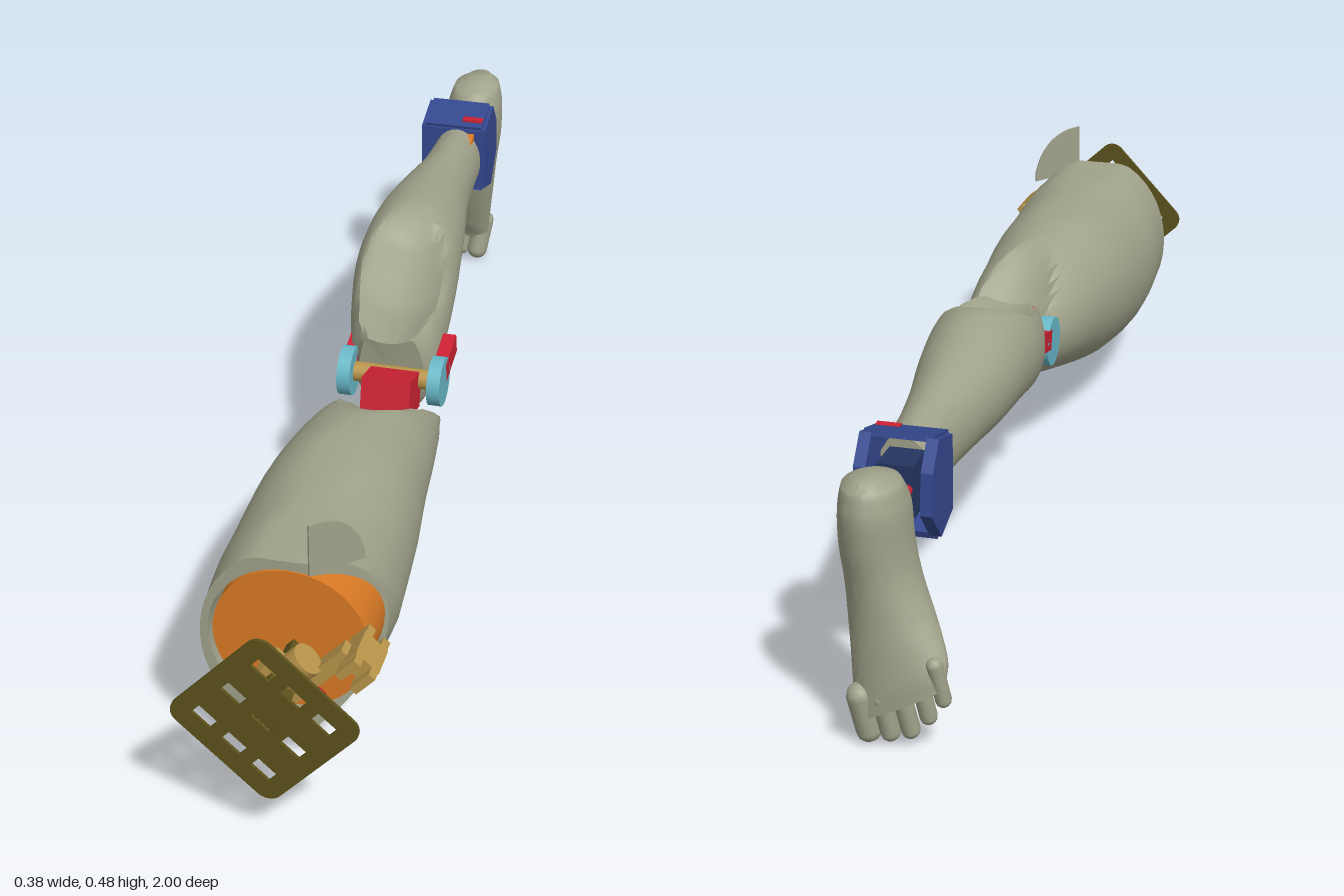
import * as THREE from 'three';
import { toCreasedNormals } from 'three/addons/utils/BufferGeometryUtils.js';

const mat = (color) => new THREE.MeshStandardMaterial({ color, side: THREE.DoubleSide });
const skin = mat(0xa0a28a), orange = mat(0xd97a25), olive = mat(0x5c511c), brass = mat(0xb8944a);
const red = mat(0xcc2233), cyan = mat(0x68b8c8), blue = mat(0x34488f), navy = mat(0x243560);
const SEG = 40;

function add(parent, name, geometry, material, x = 0, y = 0, z = 0, rx = 0, ry = 0, rz = 0) {
  const mesh = new THREE.Mesh(geometry, material);
  mesh.name = name;
  mesh.position.set(x, y, z);
  mesh.rotation.set(rx, ry, rz);
  parent.add(mesh);
  return mesh;
}

const box = (w, h, d) => new THREE.BoxGeometry(w, h, d);
const disc = (r, h, n = 32) => new THREE.CylinderGeometry(r, r, h, n);

// Skin a list of equal rings of points, closing both ends with a fan
function loft(rings, crease = 0.6) {
  const pos = [], idx = [], n = SEG;
  rings.forEach((ring) => ring.forEach((p) => pos.push(p[0], p[1], p[2])));
  for (let i = 0; i < rings.length - 1; i++)
    for (let j = 0; j < n; j++) {
      const a = i * n + j, b = i * n + (j + 1) % n;
      idx.push(a, a + n, b, b, a + n, b + n);
    }
  [0, rings.length - 1].forEach((r) => {
    const c = pos.length / 3, mid = [0, 1, 2].map((k) => rings[r].reduce((s, p) => s + p[k], 0) / n);
    pos.push(...mid);
    for (let j = 0; j < n; j++) {
      const a = r * n + j, b = r * n + (j + 1) % n;
      if (r === 0) idx.push(c, a, b); else idx.push(c, b, a);
    }
  });
  const g = new THREE.BufferGeometry();
  g.setAttribute('position', new THREE.Float32BufferAttribute(pos, 3));
  g.setIndex(idx);
  return toCreasedNormals(g, crease);
}

// Smoothly refine rows of section numbers
function refine(rows, steps = 4) {
  const out = [];
  for (let i = 0; i < rows.length - 1; i++) {
    const [p, q, r, s] = [-1, 0, 1, 2].map((k) => rows[Math.min(Math.max(i + k, 0), rows.length - 1)]);
    for (let k = 0; k < steps; k++) {
      const t = k / steps;
      out.push(q.map((v, c) => c === 0 ? v + (r[0] - v) * t : v + 0.5 * t * (r[c] - p[c]
        + t * (2 * p[c] - 5 * v + 4 * r[c] - s[c] + t * (3 * (v - r[c]) + s[c] - p[c])))));
    }
  }
  return [...out, rows[rows.length - 1]];
}

// Oval ring inside the bounds u0..u1, v0..v1, mapped to a point by fn(u, v)
function oval([, u0, u1, v0, v1], fn) {
  return Array.from({ length: SEG }, (_, j) => {
    const a = j / SEG * Math.PI * 2;
    return fn((u0 + u1) / 2 + Math.cos(a) * (u1 - u0) / 2, (v0 + v1) / 2 + Math.sin(a) * (v1 - v0) / 2);
  });
}

// Hollow running along a cut: deepest at x = c
const hollow = (x, c, depth) => depth * Math.max(0, 1 - ((x - c) / 0.07) ** 2);

function thigh() {
  // The open end is sliced off obliquely on the left side
  const endZ = (x) => x < 0.055 ? 0.81 : 0.81 - (x - 0.055) * 1.15;
  const slide = (x, z) => z > 0.6 ? 0.6 + (z - 0.6) * (endZ(x) - 0.6) / 0.21 : z;
  const rows = refine([
    [0.81, -0.13, 0.155, 0.08, 0.425], [0.72, -0.138, 0.16, 0.08, 0.422], [0.62, -0.14, 0.16, 0.081, 0.415],
    [0.46, -0.135, 0.15, 0.105, 0.417], [0.35, -0.12, 0.137, 0.132, 0.405], [0.25, -0.1, 0.128, 0.158, 0.385],
    [0.15, -0.065, 0.115, 0.18, 0.345], [0.085, -0.05, 0.102, 0.188, 0.31]]);
  const outer = rows.map((r) => oval(r, (x, y) => {
    const cut = 0.29 + 0.75 * (r[0] - 0.13) - hollow(x, 0.02, 0.03);
    return [x, Math.min(y, 0.412, cut), slide(x, r[0])];
  }));
  const inner = [0.66, 0.81].map((z) => oval([z, -0.117, 0.15, 0.122, 0.396],
    (x, y) => [x, y, z > 0.7 ? endZ(x) : z]));
  return loft([...inner, ...outer]);
}

function shin() {
  const rows = refine([
    [0.045, -0.06, 0.06, 0.205, 0.41], [0, -0.085, 0.075, 0.205, 0.43], [-0.1, -0.11, 0.075, 0.235, 0.455],
    [-0.2, -0.127, 0.068, 0.265, 0.475], [-0.3, -0.131, 0.055, 0.281, 0.48], [-0.4, -0.128, 0.04, 0.29, 0.469],
    [-0.5, -0.115, 0.022, 0.297, 0.454], [-0.6, -0.1, 0.01, 0.296, 0.44], [-0.75, -0.095, 0, 0.29, 0.428]]);
  return loft(rows.map((r) => oval(r, (x, y) => {
    const cut = 0.395 + Math.max(0, -0.08 - r[0]) * 0.42 - hollow(x, -0.01, r[0] > -0.25 ? 0.025 : 0);
    const z = r[0] > 0 ? r[0] * (0.6 + (y - 0.2) * 2) : r[0];
    return [x, Math.min(y, cut), z];
  })));
}

function foot() {
  const group = new THREE.Group();
  group.name = 'foot';
  // Rows run from the heel down to the ball: y, x range, then depth range (-z)
  const rows = refine([
    [0.443, -0.075, -0.025, 0.91, 0.975], [0.43, -0.098, -0.008, 0.875, 0.99], [0.39, -0.11, 0, 0.85, 1],
    [0.33, -0.115, 0, 0.85, 0.996], [0.28, -0.125, -0.006, 0.856, 0.99], [0.22, -0.148, -0.014, 0.876, 0.99],
    [0.16, -0.17, -0.023, 0.905, 0.995], [0.11, -0.182, -0.03, 0.93, 0.999], [0.075, -0.18, -0.033, 0.95, 0.998]]);
  add(group, 'footBody', loft(rows.map((r) => oval(r, (x, d) => {
    const k = Math.min(Math.max((0.25 - r[0]) / 0.15, 0), 1);
    return [x, r[0] - (x + 0.1) * 0.5 * k, -Math.max(d, 0.855)];
  })), 1), skin);
  // Toes: tip x, tip y, radius, from smallest to big toe
  [[-0.176, 0.078, 0.013], [-0.152, 0.045, 0.014], [-0.123, 0.017, 0.015], [-0.09, 0.008, 0.016], [-0.055, 0.003, 0.021]]
    .forEach(([x, y, r], i) => {
      const toe = add(group, 'toe' + (i + 1), new THREE.CapsuleGeometry(r, 0.065, 6, 14), skin,
        x + 0.006, y + r + 0.033, -0.974, -0.2, 0, -0.16);
      toe.scale.z = 1.1;
    });
  return group;
}

function mountPlate() {
  const group = new THREE.Group();
  group.name = 'hipMount';
  group.position.set(0.03, 0.243, 0);
  group.rotation.z = -0.75;
  // Rounded square plate with a three by three grid of slots
  const h = 0.115, r = 0.026, s = new THREE.Shape();
  [[h - r, -h + r, -Math.PI / 2], [h - r, h - r, 0], [-h + r, h - r, Math.PI / 2], [-h + r, -h + r, Math.PI]]
    .forEach(([x, y, a]) => s.absarc(x, y, r, a, a + Math.PI / 2, false));
  for (let i = -1; i <= 1; i++)
    for (let j = -1; j <= 1; j++) {
      const x = i * 0.064, y = j * 0.072, p = new THREE.Path();
      p.moveTo(x - 0.02, y - 0.01).lineTo(x - 0.02, y + 0.01).lineTo(x + 0.02, y + 0.01).lineTo(x + 0.02, y - 0.01);
      p.closePath();
      s.holes.push(p);
    }
  add(group, 'slottedPlate', new THREE.ExtrudeGeometry(s, { depth: 0.006, bevelEnabled: false, curveSegments: 6 }), olive, 0, 0, 0.994);
  add(group, 'mountStem', box(0.05, 0.018, 0.1), olive, 0, 0, 0.945);
  // Universal joint behind the plate
  add(group, 'jointBlock', box(0.08, 0.04, 0.045), brass, 0, 0, 0.885);
  add(group, 'jointCore', disc(0.028, 0.1, 20), brass, 0, 0.01, 0.885);
  add(group, 'jointPin', box(0.03, 0.02, 0.1), olive, 0, 0, 0.84);
  add(group, 'jointArm', box(0.025, 0.11, 0.03), brass, 0.035, 0.06, 0.87);
  add(group, 'sideServo', box(0.05, 0.035, 0.06), brass, 0.06, 0.125, 0.87);
  [-1, 1].forEach((k) => add(group, 'servoLug', box(0.014, 0.045, 0.1), brass, 0.06 + k * 0.016, 0.12, 0.87));
  add(group, 'redLink', box(0.04, 0.02, 0.02), red, 0.06, -0.01, 0.85);
  return group;
}

function knee() {
  const group = new THREE.Group();
  group.name = 'knee';
  add(group, 'kneeBlock', box(0.09, 0.07, 0.09), red, 0.01, 0.295, 0.085, -0.25);
  add(group, 'kneeAxle', disc(0.018, 0.17, 20), brass, 0.005, 0.305, 0.045, 0, 0, Math.PI / 2);
  [-0.078, 0.088].forEach((x) => {
    add(group, 'kneeDisc', disc(0.045, 0.024), cyan, x, 0.305, 0.045, 0, 0, Math.PI / 2);
    add(group, 'kneeArm', box(0.024, 0.038, 0.085), red, x, 0.322, -0.012, 0.2);
  });
  add(group, 'kneeLowerLink', box(0.06, 0.05, 0.07), red, 0.01, 0.25, 0.06);
  return group;
}

function ankle() {
  const group = new THREE.Group();
  group.name = 'ankle';
  // Eight-sided side profile in depth and height, used by both cheeks
  const pts = [[0.72, 0.43], [0.795, 0.45], [0.83, 0.405], [0.836, 0.335], [0.785, 0.28], [0.72, 0.302]];
  const cheek = new THREE.Shape(pts.map(([d, y]) => new THREE.Vector2(d, y)));
  const geo = new THREE.ExtrudeGeometry(cheek, { depth: 0.02, bevelEnabled: false });
  [-0.12, -0.01].forEach((x) => add(group, 'ankleCheek', geo, blue, x, 0, 0, 0, Math.PI / 2, 0));
  // Walls joining the cheeks along the top, bottom and shin side
  [[0, 1], [4, 5], [5, 0]].forEach(([i, j]) => {
    const [d0, y0] = pts[i], [d1, y1] = pts[j];
    add(group, 'ankleWall', box(0.115, 0.012, Math.hypot(d1 - d0, y1 - y0)), blue,
      -0.055, (y0 + y1) / 2, -(d0 + d1) / 2, Math.atan2(y1 - y0, d1 - d0), 0, 0);
  });
  add(group, 'ankleServo', box(0.06, 0.09, 0.07), navy, -0.055, 0.365, -0.785);
  add(group, 'ankleRod', disc(0.009, 0.1, 14), red, -0.075, 0.37, -0.82, Math.PI / 2);
  add(group, 'ankleCrank', box(0.04, 0.016, 0.016), red, -0.02, 0.436, -0.74);
  add(group, 'orangeLever', box(0.02, 0.016, 0.06), orange, -0.022, 0.41, -0.695, 0.25);
  return group;
}

export function createModel() {
  const model = new THREE.Group();
  model.name = 'mechanicalLeg';
  add(model, 'thighShell', thigh(), skin);
  add(model, 'hipPlug', disc(0.13, 0.12, 48), orange, 0.02, 0.26, 0.745, Math.PI / 2);
  // Upright hip flap continuing the oblique slice
  const flap = new THREE.Shape();
  flap.moveTo(0, 0.39).lineTo(0, 0.485).lineTo(0.025, 0.483);
  flap.quadraticCurveTo(0.09, 0.47, 0.106, 0.4).lineTo(0.106, 0.385);
  add(model, 'hipFlap', new THREE.ExtrudeGeometry(flap, { depth: 0.004, bevelEnabled: false }), skin, 0.052, 0, 0.808, 0, 0.84, 0);
  model.add(mountPlate(), knee(), ankle(), foot());
  add(model, 'shinShell', shin(), skin);
  return model;
}
